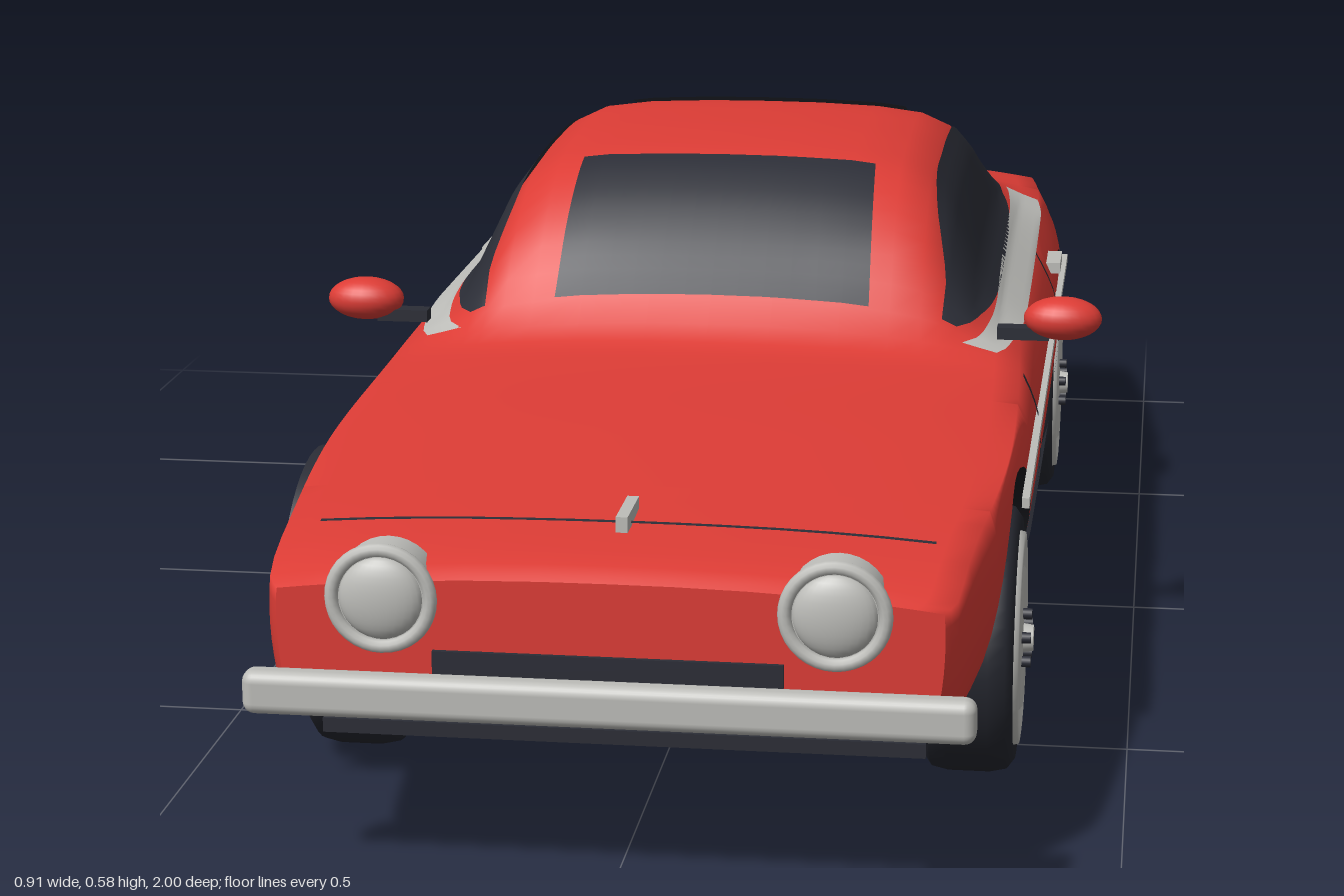
import * as THREE from 'three';
import { RoundedBoxGeometry } from 'three/addons/geometries/RoundedBoxGeometry.js';

const mat = (name, color) => new THREE.MeshStandardMaterial({ name, color, side: THREE.DoubleSide });
const RED = mat('red paint', 0xdc3c35), DARK = mat('dark glass and trim', 0x2b2d36);
const TYRE = mat('tyre rubber', 0x24262e), UNDER = mat('underbody black', 0x191a1f);
const SILVER = mat('silver', 0xbdbdb9);

// Smooth interpolation through [position, value] pairs listed in descending position
function curve(t) {
  const slope = i => {
    const a = t[Math.max(i - 1, 0)], b = t[Math.min(i + 1, t.length - 1)];
    return (b[1] - a[1]) / (b[0] - a[0]);
  };
  return z => {
    if (z >= t[0][0]) return t[0][1];
    if (z <= t[t.length - 1][0]) return t[t.length - 1][1];
    let i = 0;
    while (z < t[i + 1][0]) i++;
    const d = t[i + 1][0] - t[i][0], u = (z - t[i][0]) / d, u2 = u * u, u3 = u2 * u;
    return (2 * u3 - 3 * u2 + 1) * t[i][1] + (u3 - 2 * u2 + u) * d * slope(i)
      + (3 * u2 - 2 * u3) * t[i + 1][1] + (u3 - u2) * d * slope(i + 1);
  };
}

// Body lines along z
const topLine = curve([[0.97, 0.322], [0.95, 0.334], [0.9, 0.341], [0.56, 0.366], [0.3, 0.38], [0.25, 0.392], [0.21, 0.43],
  [0.15, 0.492], [0.1, 0.532], [0.04, 0.562], [-0.05, 0.574], [-0.15, 0.578], [-0.28, 0.575], [-0.4, 0.552],
  [-0.5, 0.512], [-0.62, 0.455], [-0.72, 0.412], [-0.8, 0.396], [-0.9, 0.384], [-0.95, 0.372], [-0.97, 0.355]]);
const shoulder = curve([[0.97, 0.305], [0.9, 0.325], [0.8, 0.336], [0.5, 0.352], [0.3, 0.362], [0.2, 0.37], [0, 0.38],
  [-0.6, 0.385], [-0.9, 0.362], [-0.97, 0.33]]);
const halfWidth = curve([[0.97, 0.327], [0.95, 0.339], [0.85, 0.352], [0.6, 0.379], [0.4, 0.385], [-0.5, 0.385],
  [-0.7, 0.375], [-0.9, 0.346], [-0.95, 0.336], [-0.97, 0.325]]);
const baseLine = curve([[0.97, 0.185], [0.9, 0.166], [0.74, 0.15], [0.3, 0.15], [-0.3, 0.15], [-0.72, 0.15], [-0.9, 0.166], [-0.97, 0.195]]);
const sideShape = curve([[0.4, 0.89], [0.36, 0.95], [0.33, 0.985], [0.3, 1], [0.25, 1], [0.2, 0.98], [0.17, 0.955], [0.14, 0.92]]);
const roofShape = [[1, 0], [0.92, 0.1], [0.85, 0.25], [0.79, 0.5], [0.74, 0.7], [0.68, 0.85], [0.58, 0.94], [0.42, 0.98], [0.2, 0.997], [0, 1]];
const AXLES = [0.56, -0.54], ARCH = 0.18;

function bottom(z) {
  for (const c of AXLES) if (Math.abs(z - c) < ARCH) return 0.15 + Math.sqrt(ARCH ** 2 - (z - c) ** 2);
  return baseLine(z);
}

// Half section [x, y] from the lower edge, up the side, to the centre of the roof
function section(z) {
  const w = halfWidth(z), b = bottom(z), s = shoulder(z), t = topLine(z), pts = [];
  for (let i = 0; i < 8; i++) {
    const y = b + (s - b) * i / 8;
    pts.push([w * sideShape(y), y]);
  }
  const k = THREE.MathUtils.smoothstep(t - s, 0.02, 0.12);
  for (const [x, h] of roofShape)
    pts.push([x * w * sideShape(s), s + (t - s) * (k * h + (1 - k) * (1 - x ** 2.5))]);
  return pts;
}
function lookUp(z, v, from, to) {
  const p = section(z);
  for (let i = from === 0 ? 7 : 0; i < p.length - 1; i++) {
    const a = p[i], b = p[i + 1];
    if ((v - a[from]) * (v - b[from]) <= 0 && a[from] !== b[from])
      return a[to] + (b[to] - a[to]) * (v - a[from]) / (b[from] - a[from]);
  }
  return v < p[0][from] ? p[0][to] : p[p.length - 1][to];
}
const sideX = (z, y) => lookUp(z, y, 1, 0), topY = (z, x) => lookUp(z, Math.abs(x), 0, 1);

// Surface through rows of points
function grid(rows) {
  const n = rows[0].length, idx = [];
  for (let i = 0; i < rows.length - 1; i++) for (let j = 0; j < n - 1; j++) {
    const a = i * n + j, b = a + n;
    idx.push(a, b, a + 1, b, b + 1, a + 1);
  }
  const g = new THREE.BufferGeometry();
  g.setAttribute('position', new THREE.Float32BufferAttribute(rows.flat(2), 3));
  g.setIndex(idx);
  g.computeVertexNormals();
  return g;
}
const steps = (a, b, n) => Array.from({ length: n + 1 }, (_, i) => a + (b - a) * i / n);

export function createModel() {
  const car = new THREE.Group();
  car.name = 'car';
  const add = (name, geo, material, x = 0, y = 0, z = 0, parent = car) => {
    const m = new THREE.Mesh(geo, material);
    m.name = name;
    m.position.set(x, y, z);
    parent.add(m);
    return m;
  };
  const box = (name, m, w, h, d, x, y, z) => add(name, new THREE.BoxGeometry(w, h, d), m, x, y, z);

  // Body shell with wheel arches cut into its lower edge
  const arch = c => steps(0, Math.PI, 20).map(a => c + ARCH * Math.cos(a));
  const zs = [0.97, 0.962, 0.95, 0.92, 0.88, 0.82, 0.78, ...arch(AXLES[0]), ...steps(0.36, -0.34, 28),
    ...arch(AXLES[1]), -0.75, -0.8, -0.85, -0.9, -0.93, -0.95, -0.962, -0.97];
  const secs = zs.map(section);
  add('bodyShell', grid(secs.map((p, i) => [...p.map(([x, y]) => [x, y, zs[i]]),
    ...p.slice(0, -1).reverse().map(([x, y]) => [-x, y, zs[i]])])), RED);
  add('underside', grid(secs.map((p, i) => [[-p[0][0], p[0][1], zs[i]], [p[0][0], p[0][1], zs[i]]])), UNDER);
  const cap = (p, z, s) => grid(p.map(([x, y]) => [[s * x, y, z], [-s * x, y, z]]));
  add('nose', cap(secs[0], 0.97, 1), RED);
  add('tail', cap(secs[secs.length - 1], -0.97, -1), RED);

  // Thin plates following the body side or its top
  const sidePlate = (name, m, z0, z1, lo, hi, off = 0.005) => {
    for (const s of [1, -1])
      add(name, grid(steps(z0, z1, Math.max(2, Math.ceil((z0 - z1) / 0.02))).map(z => steps(lo(z), hi(z), 10)
        .map(y => [s * (sideX(z, y) + off), y, z]))), m);
  };
  const topPlate = (name, m, z0, z1, w0, w1 = w0) =>
    add(name, grid(steps(z0, z1, 14).map((z, i) => steps(w0 + (w1 - w0) * i / 14, -w0 - (w1 - w0) * i / 14, 12)
      .map(x => [x, topY(z, x) + 0.005, z]))), m);
  topPlate('windscreen', DARK, 0.212, 0.04, 0.185, 0.177);
  topPlate('rearWindow', DARK, -0.35, -0.62, 0.18);
  topPlate('bonnetSeam', DARK, 0.856, 0.85, 0.31);
  sidePlate('sideWindow', DARK, 0.205, -0.57, z => 0.402 - 0.025 * (0.2 - z) / 0.77 + 0.04 * (0.2 - z) / 0.77,
    curve([[0.205, 0.41], [0.12, 0.482], [0.06, 0.522], [0, 0.54], [-0.1, 0.547], [-0.25, 0.547], [-0.35, 0.536], [-0.45, 0.505], [-0.57, 0.45]]));
  sidePlate('waistStrip', SILVER, 0.225, -0.615, z => 0.377 - 0.012 * (z - 0.22),
    curve([[0.225, 0.388], [0, 0.407], [-0.3, 0.415], [-0.615, 0.405]]));
  sidePlate('frontDoorSeam', DARK, 0.271, 0.259, () => 0.2, () => 0.362, 0.003);
  sidePlate('rearDoorSeam', DARK, -0.295, -0.305, () => 0.22, () => 0.382, 0.003);
  sidePlate('sillPanel', DARK, 0.375, -0.09, () => 0.15, () => 0.212);
  sidePlate('rearSillPanel', DARK, -0.09, -0.355, () => 0.15, () => 0.168);
  box('floor', UNDER, 0.71, 0.018, 0.74, 0, 0.146, 0.01);
  box('frontSplitter', DARK, 0.61, 0.015, 0.1, 0, 0.135, 0.84);
  box('rearValance', DARK, 0.54, 0.02, 0.11, 0, 0.135, -0.86);

  for (const s of [1, -1]) {
    box('sideTrim', SILVER, 0.008, 0.011, 1.2, s * 0.387, 0.31, 0.005);
    box('doorHandle', SILVER, 0.02, 0.014, 0.075, s * 0.378, 0.347, -0.4);
    // Door mirrors
    const shell = add('mirror', new THREE.SphereGeometry(1, 24, 16), RED, s * 0.41, 0.418, 0.215);
    shell.scale.set(0.045, 0.025, 0.03);
    const glass = add('mirrorGlass', new THREE.SphereGeometry(1, 24, 12), SILVER, s * 0.41, 0.418, 0.195);
    glass.scale.set(0.036, 0.019, 0.014);
    box('mirrorStalk', DARK, 0.06, 0.014, 0.022, s * 0.365, 0.4, 0.215);
    // Headlights
    add('headlightHousing', new THREE.CylinderGeometry(0.05, 0.05, 0.045, 32).rotateX(Math.PI / 2), SILVER, s * 0.222, 0.3, 0.952);
    add('headlightBezel', new THREE.TorusGeometry(0.049, 0.007, 10, 36), SILVER, s * 0.222, 0.3, 0.974);
    add('headlightLens', new THREE.SphereGeometry(0.042, 28, 16), SILVER, s * 0.222, 0.3, 0.972).scale.z = 0.4;
    // Wedge tail lamps
    const lamp = new THREE.Shape([[0.1, 0.275], [0.24, 0.305], [0.15, 0.303], [0.24, 0.322], [0.1, 0.318]]
      .map(([x, y]) => new THREE.Vector2(s * x, y)));
    add('tailLamp', new THREE.ExtrudeGeometry(lamp, { depth: 0.008, bevelEnabled: false }), DARK, 0, 0, -0.976);
  }

  // Bumpers, grille, ornament, number panel and exhaust
  add('frontBumper', new RoundedBoxGeometry(0.72, 0.045, 0.03, 3, 0.012), SILVER, 0, 0.203, 0.982);
  add('rearBumper', new RoundedBoxGeometry(0.72, 0.042, 0.03, 3, 0.012), SILVER, 0, 0.203, -0.978);
  box('grille', DARK, 0.345, 0.024, 0.008, 0, 0.236, 0.971);
  box('bonnetOrnament', SILVER, 0.012, 0.016, 0.075, 0, 0.353, 0.838);
  box('rearPanel', SILVER, 0.18, 0.052, 0.008, 0, 0.252, -0.971);
  add('exhaust', new THREE.CylinderGeometry(0.014, 0.014, 0.13, 20, 1, true).rotateX(Math.PI / 2), SILVER, 0.215, 0.172, -0.935);
  add('exhaustBore', new THREE.CircleGeometry(0.013, 20).rotateY(Math.PI), UNDER, 0.215, 0.172, -0.994);

  // Wheels, built along +x outward, and open arch liners on the right
  const tyreProfile = [[0.108, -0.046], [0.13, -0.048], [0.141, -0.04], [0.145, -0.022], [0.145, 0.022], [0.141, 0.04], [0.13, 0.048], [0.112, 0.046]];
  const rimProfile = [[0.11, -0.046], [0.1, -0.046], [0.095, 0.02]];
  const discProfile = [[0.116, 0.044], [0.114, 0.052], [0.105, 0.053], [0.1, 0.046], [0.08, 0.049], [0.074, 0.054], [0.068, 0.05], [0.035, 0.052], [0, 0.054]];
  const lathe = p => new THREE.LatheGeometry(p.map(([r, x]) => new THREE.Vector2(r, x)), 48).rotateZ(-Math.PI / 2);
  for (const z of AXLES) {
    for (const s of [1, -1]) {
      const wheel = new THREE.Group();
      wheel.name = 'wheel';
      wheel.position.set(s * 0.333, 0.146, z);
      if (s < 0) wheel.rotation.y = Math.PI;
      car.add(wheel);
      add('tyre', lathe(tyreProfile), TYRE, 0, 0, 0, wheel);
      add('rim', lathe(rimProfile), SILVER, 0, 0, 0, wheel);
      add('wheelDisc', lathe(discProfile), SILVER, 0, 0, 0, wheel);
      add('innerHub', new THREE.CylinderGeometry(0.055, 0.055, 0.05, 28).rotateZ(Math.PI / 2), UNDER, 0.01, 0, 0, wheel);
      add('hubCentre', new THREE.CylinderGeometry(0.014, 0.016, 0.014, 20).rotateZ(-Math.PI / 2), SILVER, 0.057, 0, 0, wheel);
      for (let i = 0; i < 5; i++) {
        const a = i * Math.PI * 0.4;
        add('wheelNut', new THREE.CylinderGeometry(0.006, 0.006, 0.014, 10).rotateZ(-Math.PI / 2), DARK,
          0.055, 0.027 * Math.cos(a), 0.027 * Math.sin(a), wheel);
      }
    }
    add('archLiner', grid(steps(-0.28, Math.PI + 0.28, 32).map(a => [-0.39, -0.185]
      .map(x => [x, 0.15 + 0.178 * Math.sin(a), z + 0.178 * Math.cos(a)]))), DARK);
  }
  return car;
}
